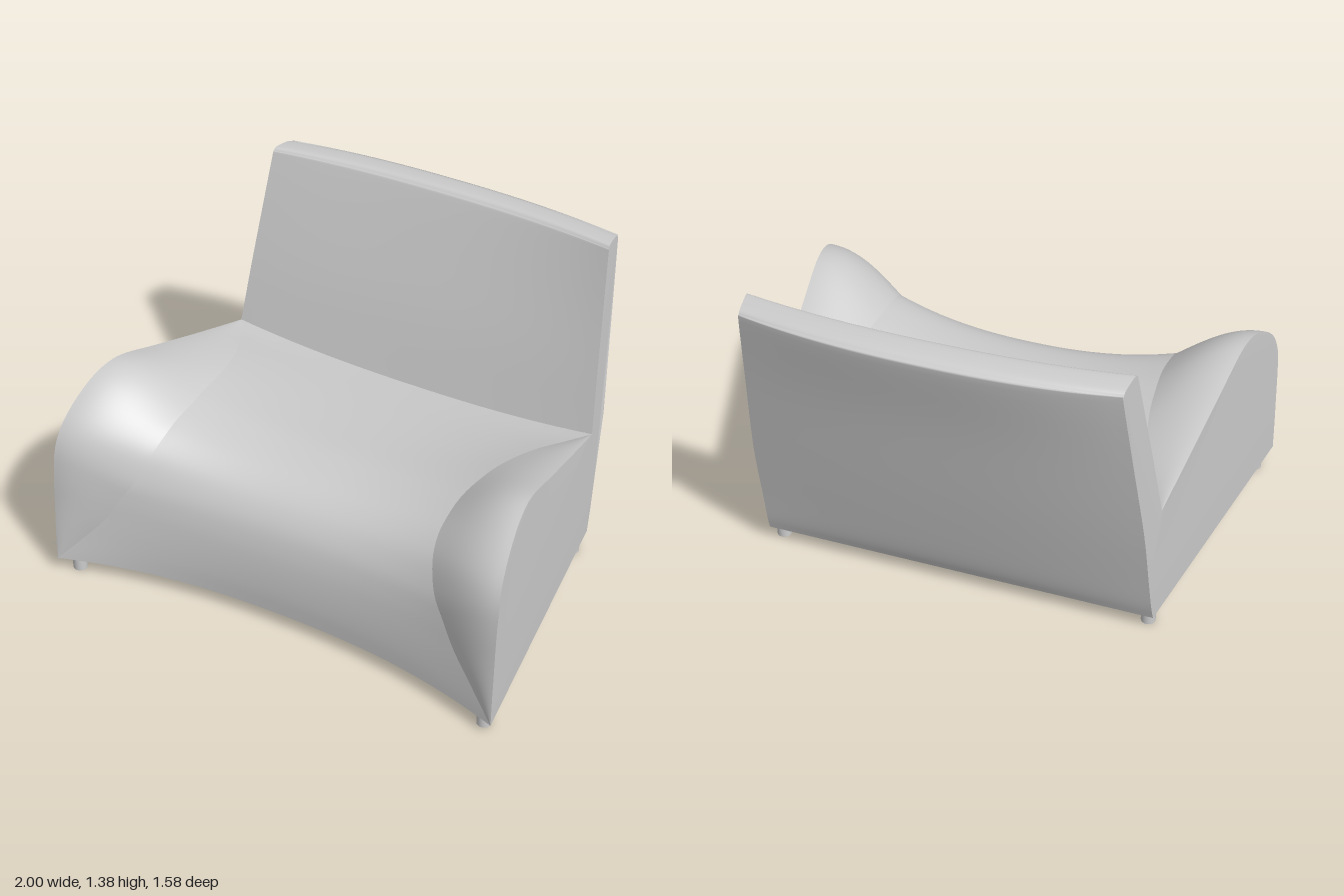
import * as THREE from 'three';
import { toCreasedNormals } from 'three/addons/utils/BufferGeometryUtils.js';

// Half width of the body: tapers to the rear and slightly with height.
const halfWidth = (y, z) => 1 - 0.14 * (0.785 - z) - 0.05 * Math.max(0, y - 0.6);

// Seat stations, front hem to rear crease: [outer z,y, seam x,y,z, centre z,y]
const SEAT = [
  [0.79, 0.07, 1.0, 0.07, 0.79, 0.64, 0.07],
  [0.785, 0.2, 0.9, 0.18, 0.75, 0.645, 0.17],
  [0.775, 0.35, 0.8, 0.3, 0.715, 0.64, 0.28],
  [0.765, 0.5, 0.735, 0.41, 0.69, 0.625, 0.38],
  [0.745, 0.62, 0.68, 0.5, 0.66, 0.595, 0.47],
  [0.7, 0.71, 0.64, 0.6, 0.6, 0.54, 0.545],
  [0.62, 0.785, 0.62, 0.66, 0.52, 0.47, 0.595],
  [0.52, 0.84, 0.615, 0.69, 0.43, 0.4, 0.62],
  [0.42, 0.86, 0.612, 0.7, 0.33, 0.3, 0.632],
  [0.32, 0.845, 0.62, 0.7, 0.22, 0.2, 0.632],
  [0.15, 0.785, 0.64, 0.68, 0.05, 0.05, 0.615],
  [-0.1, 0.7, 0.69, 0.645, -0.14, -0.14, 0.59],
  [-0.3, 0.635, 0.77, 0.61, -0.31, -0.31, 0.565],
  [-0.41, 0.6, 0.833, 0.6, -0.41, -0.41, 0.55],
];
// Backrest stations, crease over the top and down the rear: [outer z,y, centre z,y]
const BACK = [
  [-0.41, 0.6, -0.41, 0.55],
  [-0.47, 0.85, -0.49, 0.85],
  [-0.54, 1.12, -0.575, 1.12],
  [-0.595, 1.33, -0.645, 1.33],
  [-0.605, 1.36, -0.66, 1.36],
  [-0.625, 1.372, -0.685, 1.375],
  [-0.7, 1.362, -0.75, 1.368],
  [-0.722, 1.345, -0.785, 1.348],
  [-0.725, 1.32, -0.788, 1.31],
  [-0.657, 1.0, -0.7, 1.0],
  [-0.57, 0.6, -0.6, 0.6],
  [-0.5, 0.3, -0.52, 0.3],
  [-0.465, 0.15, -0.475, 0.15],
  [-0.44, 0.07, -0.44, 0.07],
];

const smooth = (points, steps) => {
  const curve = new THREE.CatmullRomCurve3(points, false, 'catmullrom', 0.5);
  return Array.from({ length: steps + 1 }, (_, i) => curve.getPoint(i / steps));
};
const outerPoint = (z, y) => new THREE.Vector3(halfWidth(y, z), y, z);

// Skin over rows of points
function skin(rows, crease) {
  const n = rows[0].length, index = [];
  for (let r = 0; r < rows.length - 1; r++) {
    for (let c = 0; c < n - 1; c++) {
      const a = r * n + c, b = a + n;
      index.push(a, a + 1, b + 1, a, b + 1, b);
    }
  }
  const g = new THREE.BufferGeometry().setFromPoints(rows.flat());
  g.setIndex(index);
  g.computeVertexNormals();
  return crease ? toCreasedNormals(g, crease) : g;
}

// Row from seam to seam, dished between the two ends
function dishedRow(centre, end) {
  return Array.from({ length: 33 }, (_, i) => {
    const u = i / 16 - 1, k = Math.abs(u) ** 2.3;
    return new THREE.Vector3(
      u * end.x,
      THREE.MathUtils.lerp(centre.y, end.y, k),
      THREE.MathUtils.lerp(centre.z, end.z, k));
  });
}

// Row from the seam swelling out to the outer edge of an arm
function armRow(seam, outer, side) {
  const row = Array.from({ length: 15 }, (_, i) => {
    const u = i / 14, k = Math.sin(u * Math.PI / 2);
    return new THREE.Vector3(
      side * THREE.MathUtils.lerp(seam.x, outer.x, u),
      THREE.MathUtils.lerp(seam.y, outer.y, k),
      THREE.MathUtils.lerp(seam.z, outer.z, k));
  });
  return side > 0 ? row : row.reverse();
}

export function createModel() {
  const model = new THREE.Group();
  const material = new THREE.MeshStandardMaterial({ color: 0xcccccc });
  const add = (name, geometry) => {
    const mesh = new THREE.Mesh(geometry, material);
    mesh.name = name;
    model.add(mesh);
    return mesh;
  };

  // Smoothed guide curves
  const steps = 52;
  const seatOuter = smooth(SEAT.map(s => outerPoint(s[0], s[1])), steps);
  const seam = smooth(SEAT.map(s => new THREE.Vector3(s[2], s[3], s[4])), steps);
  const seatCentre = smooth(SEAT.map(s => new THREE.Vector3(0, s[6], s[5])), steps);
  const backOuter = smooth(BACK.map(s => outerPoint(s[0], s[1])), steps);
  const backCentre = smooth(BACK.map(s => new THREE.Vector3(0, s[3], s[2])), steps);

  // Seat, backrest and underside
  const seatRows = seam.map((p, i) => dishedRow(seatCentre[i], p));
  const backRows = backOuter.map((p, i) => dishedRow(backCentre[i], p));
  add('seat', skin(seatRows));
  add('backrest', skin(backRows));
  add('underside', skin([backRows[steps], seatRows[0]]));

  const outline = [...seatOuter, ...backOuter.slice(1)];
  for (const side of [1, -1]) {
    const label = side > 0 ? 'left' : 'right';

    // Swelling armrest
    add(label + 'Armrest', skin(seam.map((p, i) => armRow(p, seatOuter[i], side))));

    // Side panel
    const shape = new THREE.Shape(outline.map(p => new THREE.Vector2(-side * p.z, p.y)));
    const panel = new THREE.ShapeGeometry(shape);
    const pos = panel.attributes.position;
    for (let i = 0; i < pos.count; i++) {
      const z = -side * pos.getX(i), y = pos.getY(i);
      pos.setXYZ(i, side * halfWidth(y, z), y, z);
    }
    panel.computeVertexNormals();
    add(label + 'SidePanel', panel);

    // Feet
    for (const [name, x, z] of [['FrontFoot', 0.94, 0.72], ['RearFoot', 0.793, -0.378]]) {
      add(label + name, new THREE.CylinderGeometry(0.03, 0.03, 0.075, 20))
        .position.set(side * x, 0.0375, z);
    }
  }
  return model;
}
